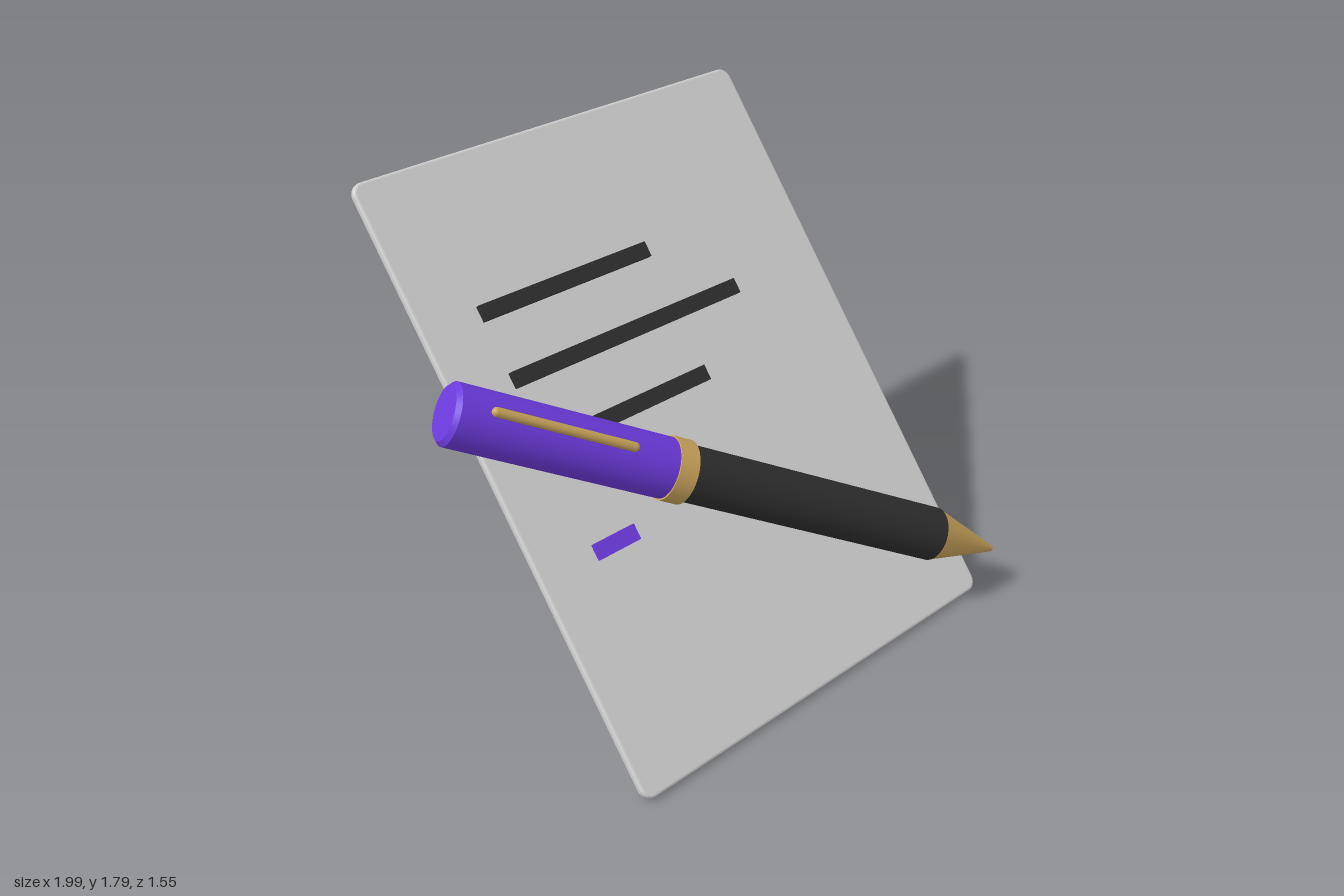
import * as THREE from 'three';

const material = (name, color) => {
  const m = new THREE.MeshStandardMaterial({ color });
  m.name = name;
  return m;
};

function roundedRect(w, h, r) {
  const s = new THREE.Shape();
  const x = w / 2 - r, y = h / 2 - r;
  s.absarc(x, y, r, 0, Math.PI / 2);
  s.absarc(-x, y, r, Math.PI / 2, Math.PI);
  s.absarc(-x, -y, r, Math.PI, Math.PI * 1.5);
  s.absarc(x, -y, r, Math.PI * 1.5, Math.PI * 2);
  s.closePath();
  return s;
}

export function createModel() {
  const paper = material('light grey', 0xd0d0d0);
  const ink = material('charcoal', 0x2e2e2e);
  const purple = material('purple', 0x6d3bde);
  const gold = material('gold', 0xcaa55c);

  const model = new THREE.Group();
  model.name = 'notePadAndPen';

  // Everything lies parallel to the leaning sheet
  const tilted = new THREE.Group();
  tilted.name = 'tiltedSheet';
  tilted.position.set(0.07, 0.903, -0.017);
  tilted.rotation.x = THREE.MathUtils.degToRad(-40);
  model.add(tilted);

  const add = (parent, name, geometry, mat, x = 0, y = 0, z = 0) => {
    const mesh = new THREE.Mesh(geometry, mat);
    mesh.name = name;
    mesh.position.set(x, y, z);
    parent.add(mesh);
    return mesh;
  };

  // Sheet with rounded corners and softened rim
  const bevel = 0.011;
  const sheet = new THREE.ExtrudeGeometry(roundedRect(1.78 - 2 * bevel, 2.325 - 2 * bevel, 0.035), {
    depth: 0.011, bevelThickness: bevel, bevelSize: bevel, bevelSegments: 3, curveSegments: 8,
  });
  add(tilted, 'sheet', sheet, paper, 0, 0, -0.0055);

  // Text lines: [left, right, height, material]
  [
    [-0.65, 0.12, 0.588, ink],
    [-0.65, 0.43, 0.331, ink],
    [-0.65, 0.12, 0.075, ink],
    [-0.65, -0.465, -0.331, purple],
  ].forEach(([x0, x1, y, mat], i) => {
    add(tilted, i < 3 ? 'writtenLine' : 'accentLine', new THREE.BoxGeometry(x1 - x0, 0.06, 0.019), mat,
      (x0 + x1) / 2, y, 0.027);
  });

  // Pen: local y runs from the tip towards the cap end
  const pen = new THREE.Group();
  pen.name = 'pen';
  pen.position.set(0.92, -1.038, 0.148);
  pen.rotation.z = THREE.MathUtils.degToRad(55);
  tilted.add(pen);

  const cylinder = (name, rTop, rBottom, y0, y1, mat) =>
    add(pen, name, new THREE.CylinderGeometry(rTop, rBottom, y1 - y0, 48), mat, 0, (y0 + y1) / 2, 0);

  cylinder('nib', 0.103, 0.012, 0, 0.305, gold);
  cylinder('barrel', 0.104, 0.104, 0.305, 1.44, ink);
  cylinder('collar', 0.118, 0.118, 1.437, 1.512, gold);
  cylinder('cap', 0.112, 0.112, 1.512, 2.34, purple);
  cylinder('capBevel', 0.096, 0.112, 2.34, 2.357, purple);

  // Clip along the front of the cap
  add(pen, 'clip', new THREE.CapsuleGeometry(0.017, 0.52, 6, 16), gold, 0, 1.966, 0.128);

  return model;
}
